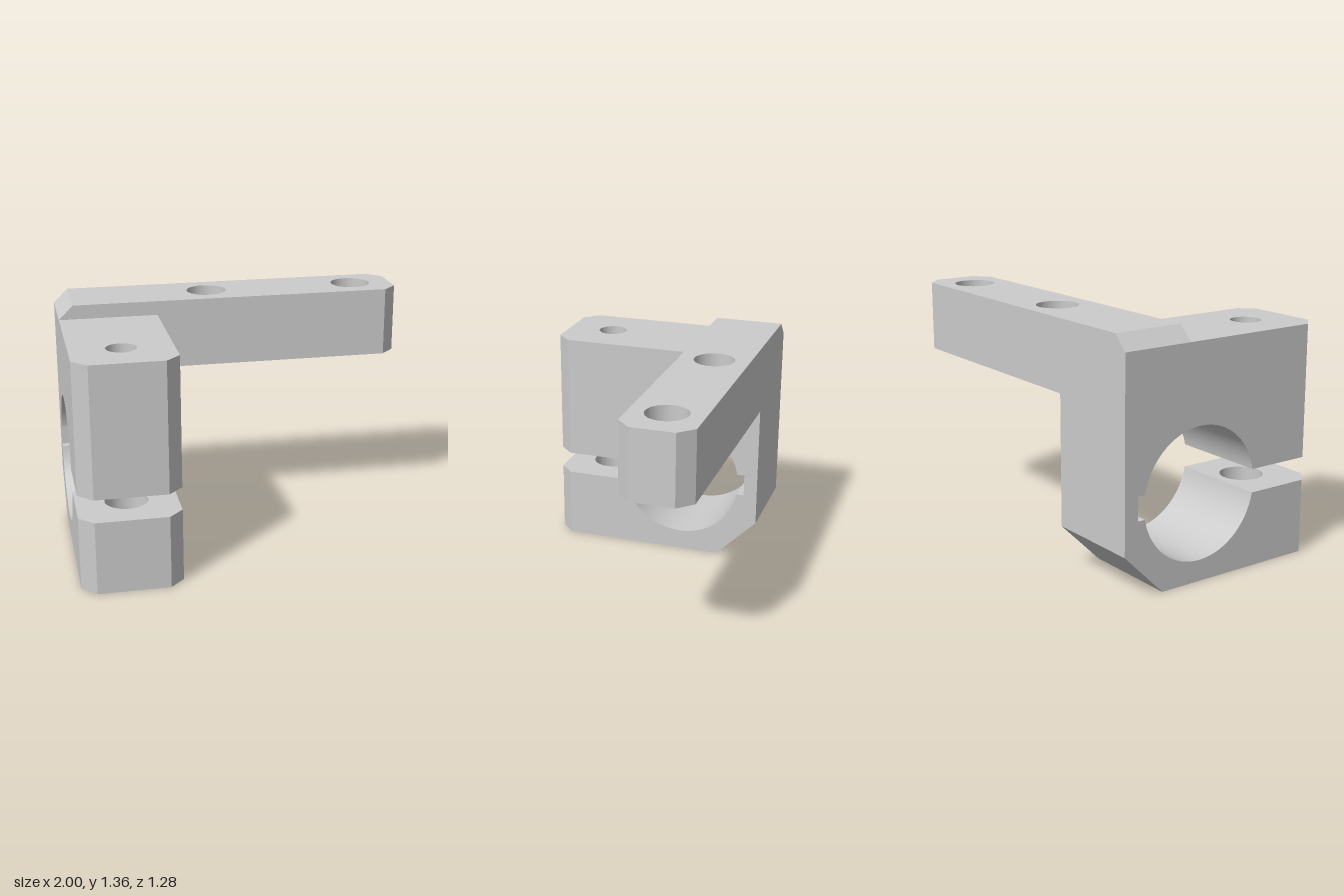
import * as THREE from 'three';
import { toCreasedNormals } from 'three/addons/utils/BufferGeometryUtils.js';

const material = new THREE.MeshStandardMaterial({ color: 0xcccccc });

const toShape = (points) => new THREE.Shape(points.map(([x, y]) => new THREE.Vector2(x, y)));

function extrude(shape, depth) {
  return new THREE.ExtrudeGeometry(shape, { depth, bevelEnabled: false, curveSegments: 40 });
}

function addMesh(group, name, geometry) {
  const mesh = new THREE.Mesh(toCreasedNormals(geometry, 0.5), material);
  mesh.name = name;
  group.add(mesh);
}

// Plan outline of [x, z] points with round holes [x, z, r], raised from y0 to y1
function planBlock(outline, holes, y0, y1) {
  const shape = toShape(outline.map(([x, z]) => [x, -z]));
  for (const [x, z, r] of holes) {
    shape.holes.push(new THREE.Path().absarc(x, -z, r, 0, Math.PI * 2, true));
  }
  return extrude(shape, y1 - y0).rotateX(-Math.PI / 2).translate(0, y0, 0);
}

// Front jaw layer with chamfered front corners and a screw hole
function jawBlock(zBack, radius, y0, y1) {
  const outline = [[-1, zBack], [-1, 0.56], [-0.92, 0.64], [-0.52, 0.64], [-0.44, 0.56], [-0.44, zBack]];
  return planBlock(outline, [[-0.72, 0.37, radius]], y0, y1);
}

export function createModel() {
  const group = new THREE.Group();
  group.name = 'clampBracket';

  // Clamp body: side profile (-z, y) wrapping the bore, slot and relief notch
  const r = 0.362, cy = 0.48, a = Math.asin(0.065 / r);
  const body = toShape([
    [-0.125, 0], [0.4, 0], [0.64, 0.24], [0.64, 0.965], [0.24, 0.965],
    [0.24, 1.28], [-0.2, 1.28], [-0.2, 0.545],
  ]);
  body.absarc(0.16, cy, r, Math.PI - a, a, true);
  body.lineTo(0.56, 0.545);
  body.lineTo(0.56, 0.415);
  body.absarc(0.16, cy, r, -a, a - Math.PI, true);
  body.lineTo(-0.2, 0.415);
  body.lineTo(-0.2, 0.24);
  body.lineTo(-0.125, 0.24);
  addMesh(group, 'clampBody', extrude(body, 0.56).rotateY(Math.PI / 2).translate(-1, 0, 0));

  // Jaws: the lower one has a wide counterbore from below
  addMesh(group, 'upperJaw', jawBlock(0.2, 0.083, 0.545, 1.28));
  addMesh(group, 'lowerJaw', jawBlock(0.2, 0.12, 0.24, 0.415));
  addMesh(group, 'lowerJawCounterbore', jawBlock(0.125, 0.227, 0, 0.24));

  // Arm with two through holes and chamfered free end
  addMesh(group, 'arm', planBlock(
    [[-0.92, -0.64], [-0.92, -0.24], [0.92, -0.24], [1, -0.32], [1, -0.56], [0.92, -0.64]],
    [[-0.12, -0.44, 0.115], [0.76, -0.44, 0.115]], 0.965, 1.36));

  // Sloped end of the arm above the clamp
  const end = toShape([[-1, 0.965], [-0.92, 0.965], [-0.92, 1.36], [-1, 1.28]]);
  addMesh(group, 'armSlopedEnd', extrude(end, 0.4).translate(0, 0, -0.64));

  return group;
}
